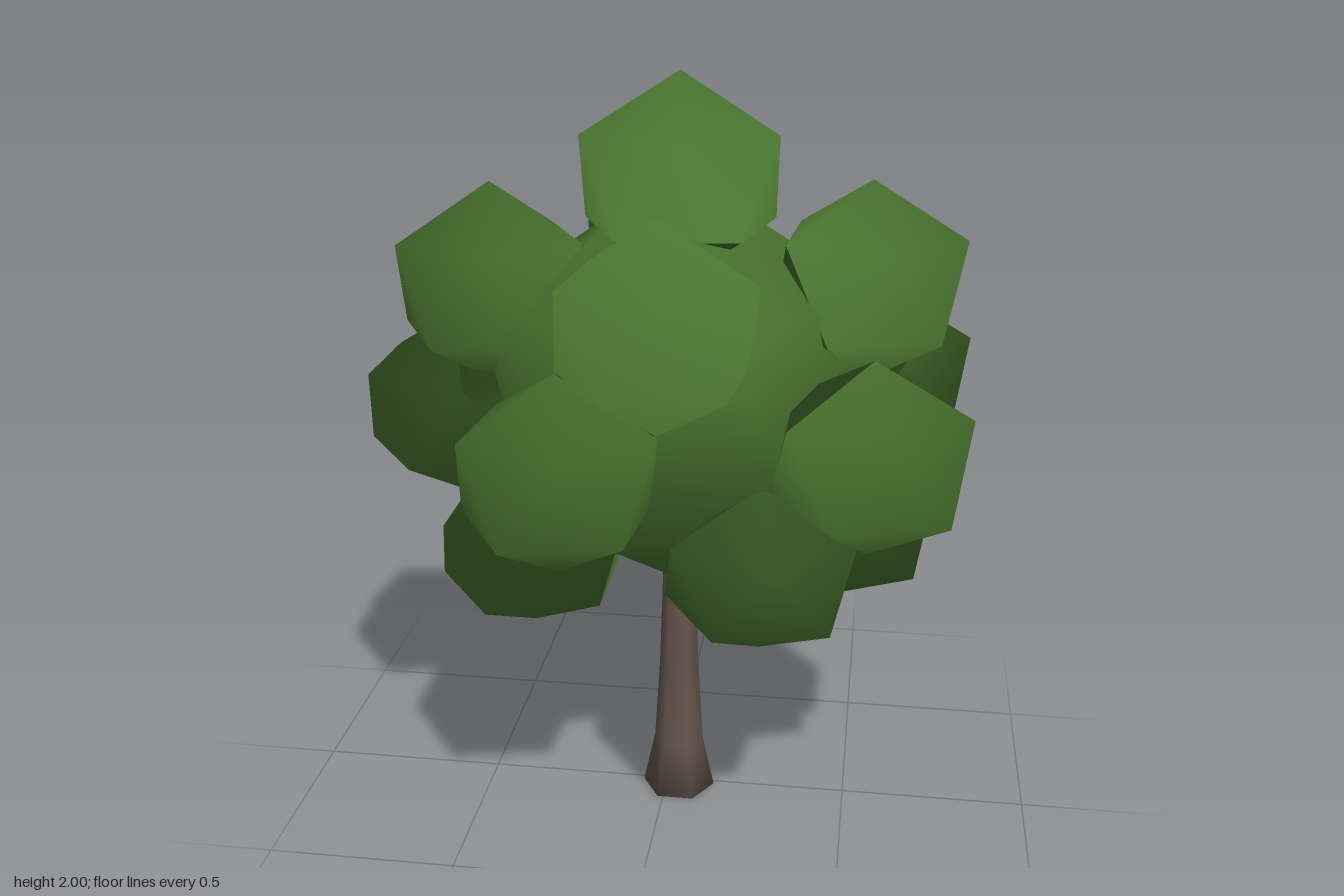
import * as THREE from 'three';

const CROWN = new THREE.Vector3(0.03, 1.2, 0.01);

// Faceted leaf ball: icosahedron standing on a corner, squashed in height and turned
// by yaw degrees, with normals fanning out from the crown centre
function leafBall(width, height, [x, y, z, yaw = 0]) {
  const geo = new THREE.IcosahedronGeometry(1, 0);
  geo.rotateZ(-Math.atan(2 / (1 + Math.sqrt(5))));
  geo.rotateY(-THREE.MathUtils.degToRad(yaw));
  geo.scale(width, height, width).translate(x, y, z);
  const pos = geo.attributes.position;
  const n = new THREE.Vector3();
  for (let i = 0; i < pos.count; i++) {
    n.fromBufferAttribute(pos, i).sub(CROWN).normalize();
    geo.attributes.normal.setXYZ(i, n.x, n.y, n.z);
  }
  return geo;
}

export function createModel() {
  const tree = new THREE.Group();
  tree.name = 'tree';

  const leafGreen = new THREE.MeshStandardMaterial({ color: 0x4a7530 });
  leafGreen.name = 'leafGreen';
  const barkBrown = new THREE.MeshStandardMaterial({ color: 0x65564d });
  barkBrown.name = 'barkBrown';

  const add = (name, geo, mat, parent) => {
    const mesh = new THREE.Mesh(geo, mat);
    mesh.name = name;
    parent.add(mesh);
    return mesh;
  };

  // Flared six-sided trunk, closed below and reaching into the crown
  const profile = [[0, 0], [0.1, 0], [0.068, 0.15], [0.054, 0.38], [0.046, 0.62], [0.042, 0.75]];
  const trunk = add('trunk',
    new THREE.LatheGeometry(profile.map(([r, y]) => new THREE.Vector2(r, y)), 6, Math.PI / 6),
    barkBrown, tree);
  trunk.position.set(0.034, 0, 0.013);

  // Crown: a large core with tiers of leaf balls around it
  const crown = new THREE.Group();
  crown.name = 'crown';
  tree.add(crown);
  add('crownCore', leafBall(0.56, 0.56, CROWN.toArray()), leafGreen, crown);
  add('topLeaves', leafBall(0.287, 0.262, [0.032, 1.738, 0.01, 12]), leafGreen, crown);

  // Each ball: x, y, z, yaw
  const tiers = [
    { name: 'upperLeaves', height: 0.257, balls: [
      [0.04, 1.485, 0.495, 5], [-0.425, 1.483, 0.13, 8], [0.51, 1.487, 0, 4], [-0.06, 1.492, -0.465, 8]] },
    { name: 'middleLeaves', height: 0.247, balls: [
      [-0.547, 1.14, 0.06], [-0.185, 1.138, 0.535, 5], [0.535, 1.138, 0.335],
      [0.545, 1.158, -0.28], [-0.14, 1.145, -0.535, -8]] },
    { name: 'lowerLeaves', height: 0.215, balls: [
      [-0.35, 0.845, -0.19], [0.19, 0.85, -0.38], [-0.305, 0.845, 0.28],
      [0.28, 0.85, 0.365, 5], [0.465, 0.832, -0.01]] },
  ];
  for (const { name, height, balls } of tiers) {
    balls.forEach((b, i) => add(name + (i + 1), leafBall(0.268, height, b), leafGreen, crown));
  }
  return tree;
}
